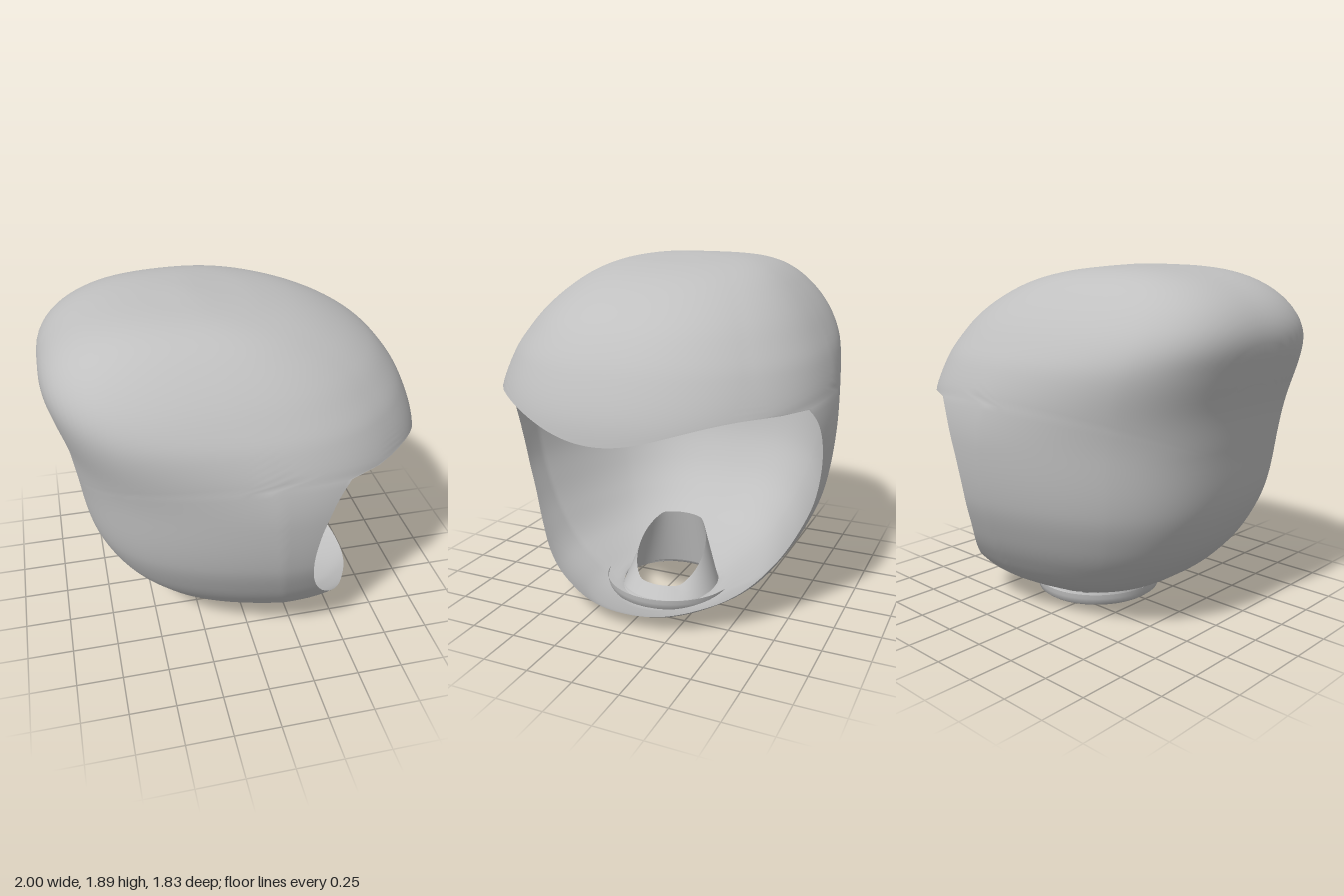
import * as THREE from 'three';

// Horizontal sections: height, back x, front x, half width
const SECTIONS = [
  [0.01, 0.05, 0.48, 0.2], [0.05, -0.11, 0.61, 0.33], [0.09, -0.23, 0.71, 0.41],
  [0.2, -0.455, 0.83, 0.585], [0.35, -0.625, 0.93, 0.71], [0.5, -0.735, 0.98, 0.795],
  [0.7, -0.82, 1.01, 0.872], [1.0, -0.87, 1.01, 0.915], [1.2, -0.905, 0.988, 0.905],
  [1.4, -0.965, 0.91, 0.85], [1.52, -0.995, 0.83, 0.785], [1.62, -0.98, 0.73, 0.715],
  [1.72, -0.91, 0.57, 0.62], [1.8, -0.79, 0.37, 0.515], [1.85, -0.64, 0.14, 0.4],
  [1.875, -0.47, -0.08, 0.26], [1.886, -0.28, -0.2, 0.06],
];
// Side edge of the opening: height, x
const EDGE = [
  [0.0, 0.9], [0.09, 0.71], [0.17, 0.575], [0.27, 0.455], [0.4, 0.35], [0.55, 0.28],
  [0.72, 0.25], [0.9, 0.265], [1.05, 0.31], [1.15, 0.36], [1.24, 0.44],
];
const CENTRE = new THREE.Vector3(0, 0.9, 0);
const HOLE_X = 0.12, HOLE_R = 0.275;

// Smooth lookup of one column of a table
function lookup(rows, y, col) {
  const n = rows.length;
  let i = 0;
  while (i < n - 2 && y > rows[i + 1][0]) i++;
  const slope = (k) => {
    const a = rows[Math.max(k - 1, 0)], b = rows[Math.min(k + 1, n - 1)];
    return (b[col] - a[col]) / (b[0] - a[0]);
  };
  const h = rows[i + 1][0] - rows[i][0];
  const t = THREE.MathUtils.clamp((y - rows[i][0]) / h, 0, 1);
  const t2 = t * t, t3 = t2 * t;
  return (2 * t3 - 3 * t2 + 1) * rows[i][col] + (t3 - 2 * t2 + t) * h * slope(i)
    + (3 * t2 - 2 * t3) * rows[i + 1][col] + (t3 - t2) * h * slope(i + 1);
}

// Sections are blunt and tapered at the back, rounder at the front
function inside(p) {
  if (p.y < 0.01 || p.y > 1.886) return false;
  const x0 = lookup(SECTIONS, p.y, 1), x1 = lookup(SECTIONS, p.y, 2);
  const u = (p.x - (x0 + x1) / 2) / ((x1 - x0) / 2);
  const taper = 0.2 - 0.16 * THREE.MathUtils.smoothstep(p.y, 1.0, 1.55);
  const hz = lookup(SECTIONS, p.y, 3) * (1 - taper * Math.max(0, -u));
  const power = 2.6 - 0.4 * THREE.MathUtils.clamp(u * 1.4, -1, 1);
  return Math.abs(u) ** power + (Math.abs(p.z) / hz) ** power < 1;
}

// Shell point at angle theta from the back, on the meridian phi
function shellPoint(theta, phi) {
  const s = Math.sin(theta);
  const dir = new THREE.Vector3(-Math.cos(theta), s * Math.cos(phi), s * Math.sin(phi));
  const p = new THREE.Vector3();
  let lo = 0, hi = 1.6;
  for (let k = 0; k < 22; k++) {
    const r = (lo + hi) / 2;
    if (inside(p.copy(CENTRE).addScaledVector(dir, r))) lo = r; else hi = r;
  }
  return p;
}

function inOpening(p) {
  const brow = 1.15 - 0.065 * Math.cos(Math.PI * Math.min(Math.abs(p.z) / 0.7, 1));
  return p.y < brow && p.x > lookup(EDGE, p.y, 1);
}

// Angle at which a meridian meets the rim of the opening
function rimAngle(phi) {
  let hi = 0.8;
  while (hi < Math.PI && !inOpening(shellPoint(hi, phi))) hi += 0.03;
  let lo = hi - 0.03;
  for (let k = 0; k < 14; k++) {
    const m = (lo + hi) / 2;
    if (inOpening(shellPoint(m, phi))) hi = m; else lo = m;
  }
  return lo;
}

// Hooded shell: meridians from the back to the rim, with a round hole in the floor
function shellGeometry() {
  const M = 180, N = 84, pos = [], index = [], hole = [];
  for (let i = 0; i < M; i++) {
    const phi = (i / M) * Math.PI * 2;
    const end = rimAngle(phi);
    for (let j = 0; j <= N; j++) {
      const p = shellPoint(end * (j / N), phi);
      const r = Math.hypot(p.x - HOLE_X, p.z);
      const cut = p.y < 0.25 && r < HOLE_R;
      // points over the hole move out to its edge
      if (cut && r > 0.01) {
        p.x = HOLE_X + (p.x - HOLE_X) * HOLE_R / r;
        p.z *= HOLE_R / r;
      }
      hole.push(cut);
      pos.push(p.x, p.y, p.z);
    }
  }
  for (let i = 0; i < M; i++) {
    for (let j = 0; j < N; j++) {
      const a = i * (N + 1) + j, b = ((i + 1) % M) * (N + 1) + j;
      for (const tri of [[a, a + 1, b], [b, a + 1, b + 1]]) {
        if (!tri.every((k) => hole[k])) index.push(...tri);
      }
    }
  }
  return build(pos, index);
}

function build(pos, index) {
  const g = new THREE.BufferGeometry();
  g.setAttribute('position', new THREE.Float32BufferAttribute(pos, 3));
  g.setIndex(index);
  g.computeVertexNormals();
  return g;
}

// Inner neck: a tapered collar, high at the back and low at the front
function neckGeometry() {
  const M = 64, N = 10, pos = [], index = [];
  for (let j = 0; j <= N; j++) {
    const t = j / N;
    for (let i = 0; i < M; i++) {
      const a = (i / M) * Math.PI * 2, c = Math.cos(a);
      const top = 0.225 - 0.145 * THREE.MathUtils.clamp(c * 1.25, -1, 1);
      const r = 0.28 - 0.08 * t;
      pos.push(HOLE_X + r * c, 0.01 + (top - 0.01) * t, r * Math.sin(a));
    }
  }
  for (let j = 0; j < N; j++) {
    for (let i = 0; i < M; i++) {
      const a = j * M + i, b = j * M + (i + 1) % M;
      index.push(a, a + M, b, b, a + M, b + M);
    }
  }
  return build(pos, index);
}

export function createModel() {
  const model = new THREE.Group();
  model.name = 'hoodedShell';
  const grey = new THREE.MeshStandardMaterial({ color: 0xc0c0c0, side: THREE.DoubleSide });
  grey.name = 'light grey';

  const add = (name, geometry) => {
    const mesh = new THREE.Mesh(geometry, grey);
    mesh.name = name;
    model.add(mesh);
    return mesh;
  };
  add('shell', shellGeometry());
  add('neck', neckGeometry());

  // Rounded foot ring around the floor hole
  const profile = [[0.272, 0.025], [0.28, 0.008], [0.3, 0], [0.33, 0], [0.35, 0.015],
    [0.357, 0.045], [0.36, 0.07]].map(([x, y]) => new THREE.Vector2(x, y));
  const foot = add('footRing', new THREE.LatheGeometry(profile, 64));
  foot.position.x = HOLE_X;
  foot.scale.z = 1.03;
  return model;
}
